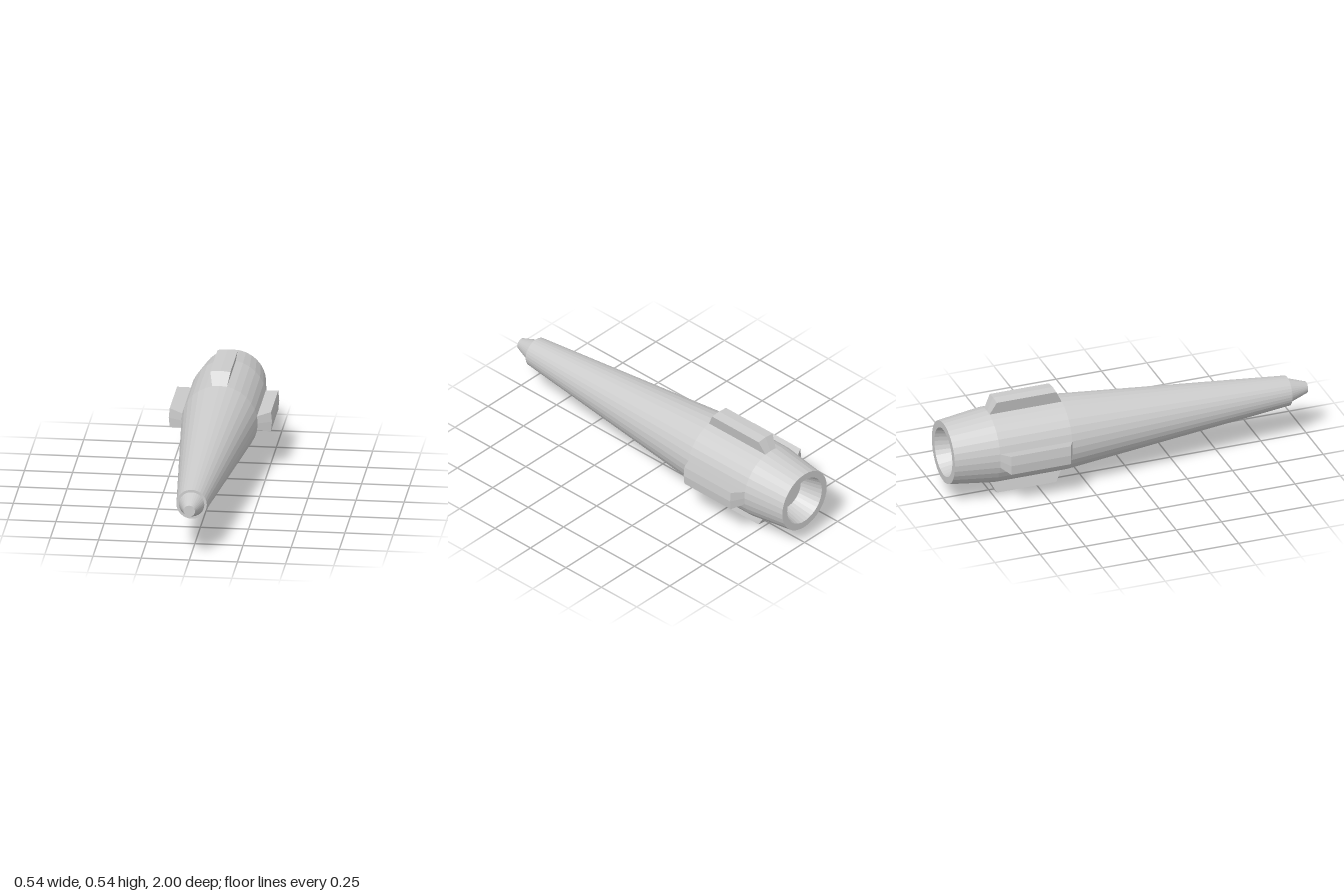
import * as THREE from 'three';

const SIDES = 32;
const AXIS_Y = 0.268;

export function createModel() {
  const model = new THREE.Group();
  model.name = 'projectile';
  const material = new THREE.MeshStandardMaterial({ color: 0xcccccc, flatShading: true });

  // Turned body: tail recess, tail cone, barrel, long taper, stepped nose (radius, z)
  const profile = [
    [0, -0.88], [0.1, -0.88], [0.131, -1], [0.168, -1],
    [0.198, -0.76], [0.198, -0.362], [0.079, 0.895],
    [0.066, 0.895], [0.03, 1], [0, 1],
  ].map(([r, z]) => new THREE.Vector2(r, z));
  const bodyGeometry = new THREE.LatheGeometry(profile, SIDES);
  bodyGeometry.rotateX(Math.PI / 2);
  const body = new THREE.Mesh(bodyGeometry, material);
  body.name = 'body';
  body.position.y = AXIS_Y;
  model.add(body);

  // Fin: a box bent around the axis, two body facets wide, with sloped ends
  const finGeometry = new THREE.BoxGeometry(2, 1, 2, 2, 1, 1);
  const p = finGeometry.attributes.position;
  for (let i = 0; i < p.count; i++) {
    const angle = p.getX(i) * (Math.PI * 2 / SIDES);
    const outer = p.getY(i) > 0;
    const radius = outer ? 0.268 : 0.198;
    const halfLength = outer ? 0.164 : 0.199;
    p.setXYZ(i, Math.sin(angle) * radius, Math.cos(angle) * radius, -0.561 + p.getZ(i) * halfLength);
  }
  finGeometry.computeVertexNormals();

  ['topFin', 'leftFin', 'bottomFin', 'rightFin'].forEach((name, i) => {
    const fin = new THREE.Mesh(finGeometry, material);
    fin.name = name;
    fin.position.y = AXIS_Y;
    fin.rotation.z = -i * Math.PI / 2;
    model.add(fin);
  });

  return model;
}
